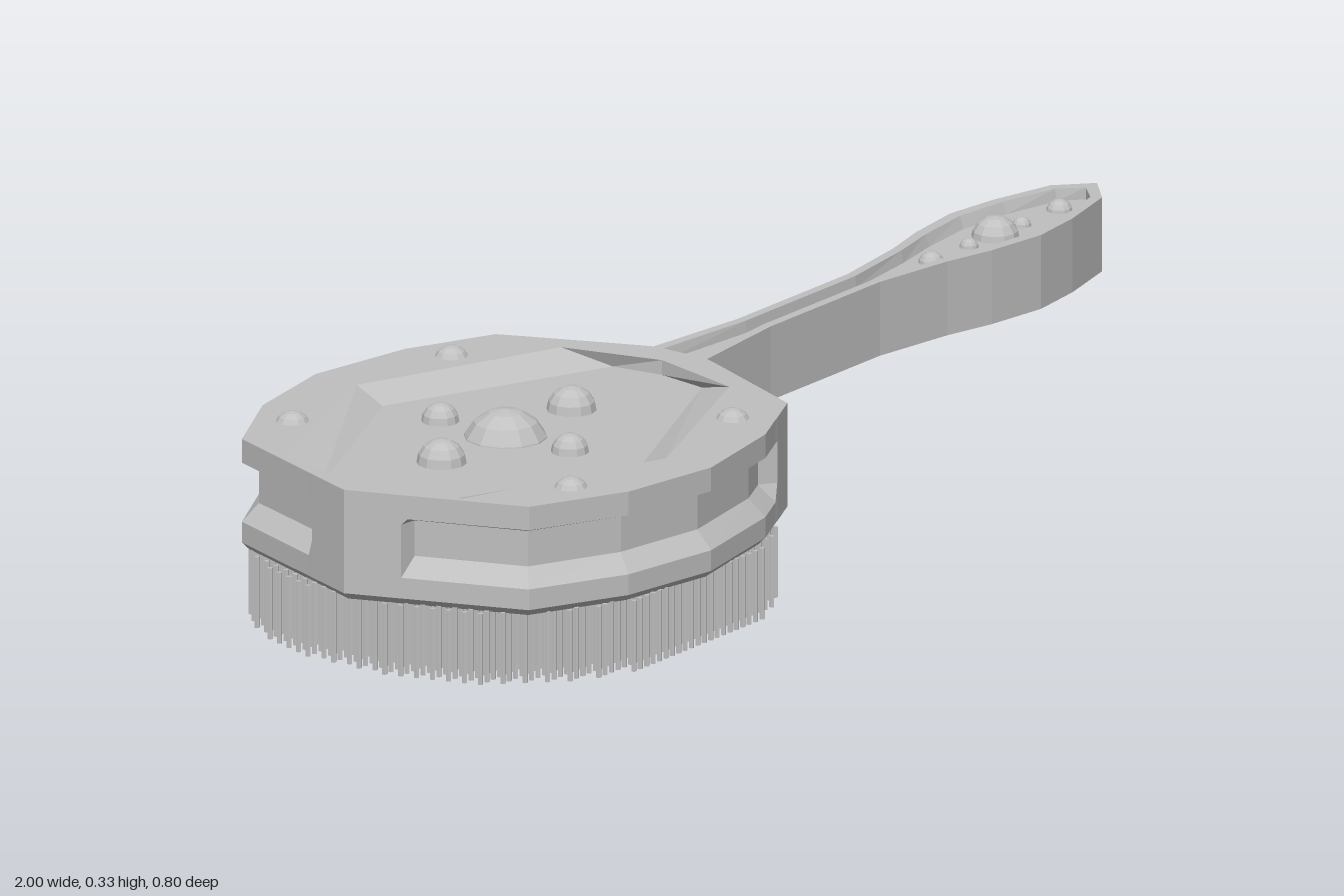
import * as THREE from 'three';
import { mergeGeometries } from 'three/addons/utils/BufferGeometryUtils.js';

const TOP = 0.305, BASE = 0.118, CENTRE = -0.55;

const grey = new THREE.MeshStandardMaterial({ color: 0xc0c0c0 });
grey.name = 'grey';

// Facets a geometry so that every face has its own normal
function facet(geo) {
  const g = geo.index ? geo.toNonIndexed() : geo;
  g.deleteAttribute('uv');
  g.computeVertexNormals();
  return g;
}

// Skins a stack of point rings
function loft(rings, closed = true) {
  const pos = [];
  for (let r = 0; r < rings.length - 1; r++) {
    const lo = rings[r], hi = rings[r + 1], n = lo.length;
    for (let i = 0; i < (closed ? n : n - 1); i++) {
      const j = (i + 1) % n;
      pos.push(...lo[i], ...hi[i], ...lo[j], ...lo[j], ...hi[i], ...hi[j]);
    }
  }
  const g = new THREE.BufferGeometry();
  g.setAttribute('position', new THREE.Float32BufferAttribute(pos, 3));
  return facet(g);
}

// Flat cap from [x, z] points, with an optional hole
function cap(points, y, up = true, hole = null) {
  const s = up ? -1 : 1;
  const vec = (list) => list.map(([x, z]) => new THREE.Vector2(x, s * z));
  const shape = new THREE.Shape(vec(points));
  if (hole) shape.holes.push(new THREE.Path(vec(hole)));
  const g = new THREE.ShapeGeometry(shape).rotateX(s * Math.PI / 2).translate(0, y, 0);
  return facet(g);
}

// Completes a half outline by mirroring it in z
function mirror(half) {
  const back = half.filter((p) => p[1] !== 0).reverse().map(([x, z, ...rest]) => [x, -z, ...rest]);
  return [...half, ...back];
}

const at = (points, y) => points.map(([x, z]) => [x, y, z]);

function mesh(name, ...geos) {
  const m = new THREE.Mesh(mergeGeometries(geos), grey);
  m.name = name;
  return m;
}

// Sunken panel: sloped walls and a floor
const sunken = (rim, floor, y) => [loft([at(rim, TOP), at(floor, y)]), cap(floor, y)];

function makeHead() {
  // Heights of the side groove and of the panels by the neck
  const G = [0.165, 0.195, 0.255, 0.265], P = [0.14, 0.155, 0.272, 0.285];
  // x, z, heights, depth of the cut
  const columns = mirror([
    [-1, 0, G, 0],
    [-0.966, -0.09, G, 0], [-0.962, -0.1, G, 0.028],
    [-0.89, -0.29, G, 0.028], [-0.73, -0.37, G, 0.028], [-0.55, -0.4, G, 0.028],
    [-0.36, -0.365, G, 0.028], [-0.29, -0.332, G, 0.028], [-0.28, -0.328, G, 0],
    [-0.21, -0.295, P, 0],
    [-0.202, -0.277, P, 0], [-0.195, -0.262, P, 0.018],
    [-0.122, -0.092, P, 0.018], [-0.116, -0.078, P, 0],
    [-0.105, -0.05, P, 0],
  ]);
  const ring = (height, inset) => columns.map(([x, z, ys, cut]) => {
    const d = inset ?? cut, r = Math.hypot(x - CENTRE, z), k = 1 - d / r;
    return [CENTRE + (x - CENTRE) * k, typeof height === 'number' ? height : ys[height.row], z * k];
  });
  const rings = [
    ring(BASE, 0.012), ring(0.13, 0),
    ring({ row: 0 }, 0), ring({ row: 1 }), ring({ row: 2 }), ring({ row: 3 }, 0),
    ring(TOP, 0),
  ];
  const flat = (r) => r.map(([x, , z]) => [x, z]);
  const rim = mirror([[-0.965, 0], [-0.92, -0.18], [-0.555, -0.313], [-0.2, -0.17], [-0.155, 0]]);
  const floor = mirror([[-0.965, 0], [-0.942, -0.09], [-0.555, -0.26], [-0.168, -0.09], [-0.155, 0]]);
  return mesh('head', loft(rings), cap(flat(rings[6]), TOP, true, rim),
    cap(flat(rings[0]), BASE, false), ...sunken(rim, floor, 0.28));
}

function makeHandle() {
  const half = [[-0.115, -0.055], [0.09, -0.033], [0.38, -0.033], [0.53, -0.055], [0.62, -0.077],
    [0.73, -0.092], [0.83, -0.08], [0.945, -0.052], [1, 0]];
  const under = (x) => 0.12 + 0.06 * Math.min(1, (x + 0.115) / 0.205);
  const low = (points) => points.map(([x, z]) => [x, under(x), z]);
  const outline = mirror(half);
  const rim = mirror([[-0.105, -0.035], [0.09, -0.017], [0.38, -0.017], [0.53, -0.038], [0.62, -0.058],
    [0.73, -0.072], [0.83, -0.062], [0.935, -0.036], [0.97, 0]]);
  const floor = rim.map(([x, z]) => [x, z * 0.88]);
  const belly = loft([low(half.map(([x, z]) => [x, -z])), low(half)], false);
  return mesh('handle', loft([low(outline), at(outline, TOP)]), belly,
    cap(outline, TOP, true, rim), ...sunken(rim, floor, 0.285));
}

// Studs: x, z, radius, height of the crown
function makeStuds(name, list) {
  return mesh(name, ...list.map(([x, z, r, crown]) =>
    facet(new THREE.SphereGeometry(r, 12, 8).translate(x, crown - r, z))));
}

function makeBristles() {
  const tuft = facet(new THREE.CylinderGeometry(0.0045, 0.0045, BASE + 0.002, 6));
  const tufts = [];
  for (let row = 0; row < 30; row++) {
    const z = -0.374 + row * 0.0258;
    // Half length of the row within the oval head
    const reach = 0.43 * Math.pow(1 - Math.pow(Math.abs(z) / 0.4, 2.2), 1 / 2.2);
    const shift = row % 2 ? 0.0085 : 0;
    for (let x = -0.43 + shift; x <= 0.43; x += 0.017) {
      if (Math.abs(x) <= reach) tufts.push(tuft.clone().translate(x + CENTRE - 0.005, BASE / 2 + 0.001, z));
    }
  }
  return mesh('bristles', ...tufts);
}

export function createModel() {
  const brush = new THREE.Group();
  brush.name = 'brush';
  brush.add(
    makeHead(),
    makeHandle(),
    makeStuds('headStuds', [
      [-0.56, -0.008, 0.073, 0.327],
      [-0.73, -0.008, 0.041, 0.32], [-0.385, -0.008, 0.041, 0.32],
      [-0.56, -0.14, 0.031, 0.311], [-0.56, 0.122, 0.031, 0.311],
      [-0.765, -0.283, 0.031, 0.322], [-0.34, -0.285, 0.031, 0.322],
      [-0.765, 0.28, 0.031, 0.322], [-0.325, 0.272, 0.031, 0.322],
    ]),
    makeStuds('handleStuds', [
      [0.56, 0, 0.022, 0.304], [0.66, 0, 0.016, 0.3], [0.73, 0, 0.04, 0.32],
      [0.8, 0, 0.016, 0.3], [0.9, 0, 0.022, 0.304],
    ]),
    makeBristles(),
  );
  return brush;
}
